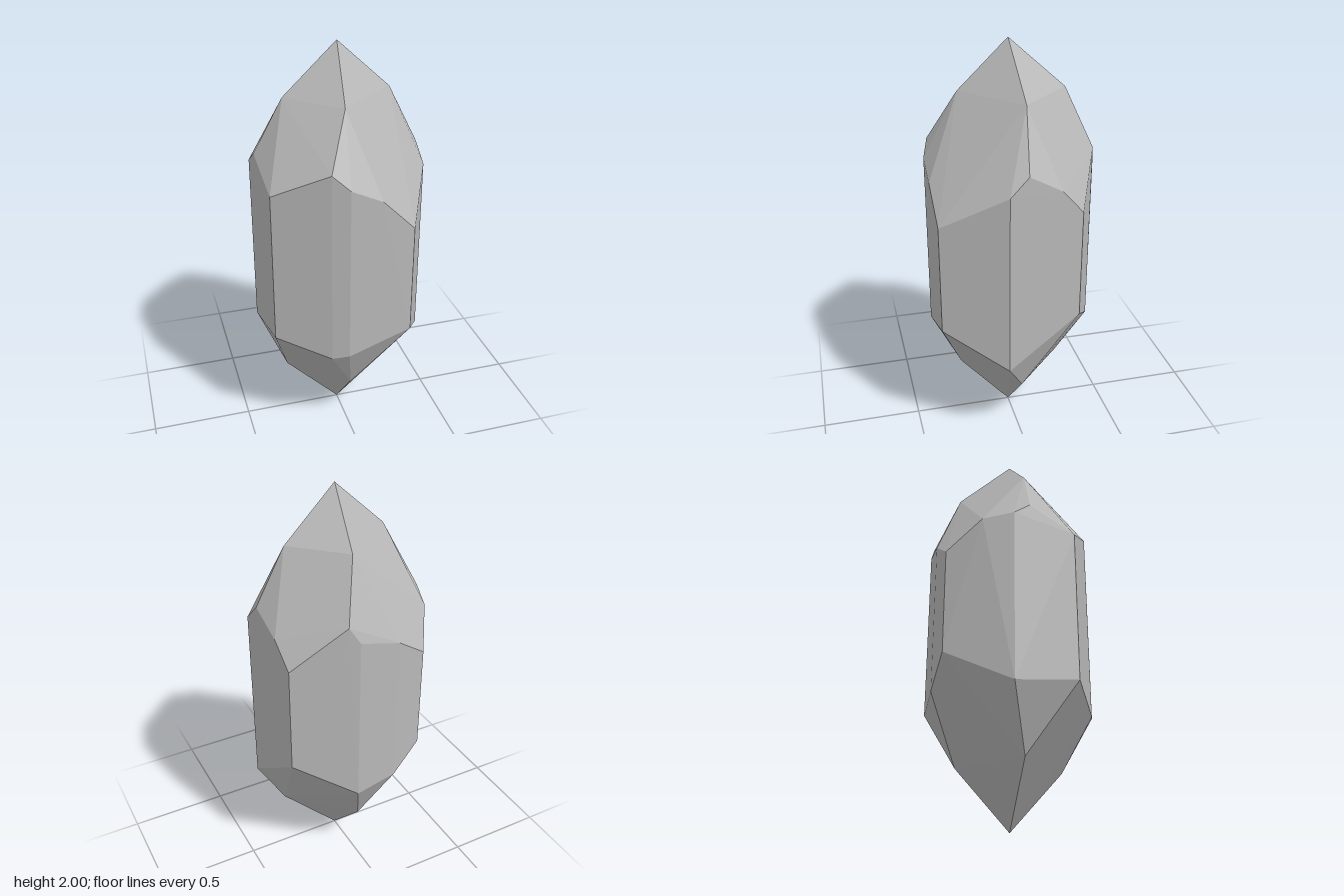
import * as THREE from 'three';
import { ConvexGeometry } from 'three/addons/geometries/ConvexGeometry.js';

export function createModel() {
  const stone = new THREE.MeshStandardMaterial({ color: 0xb8b8b8 });
  stone.name = 'grey stone';
  stone.flatShading = true;

  const points = [];
  const add = (x, y, z) => points.push(new THREE.Vector3(x, y, z));

  // Pointed tips
  add(0, 2, 0);
  add(0, 0, 0);

  // Long upright edges: x, z, upper end, lower end
  for (const [x, z, top, bottom] of [
    [0.26, 0.39, 1.21, 0.66],
    [0.37, -0.265, 1.27, 0.73],
    [-0.265, -0.38, 1.26, 0.74],
    [-0.378, 0.23, 1.38, 0.62],
  ]) {
    add(x, top, z);
    add(x, bottom, z);
  }

  // Blunt edges in the middle of each side: x, z, upper end, lower end
  for (const [x, z, top, bottom] of [
    [-0.05, 0.4, 1.44, 0.56],
    [0.41, 0.09, 1.39, 0.48],
    [0.08, -0.4, 1.41, 0.55],
    [-0.12, -0.403, 1.36, 0.6],
    [-0.41, -0.08, 1.44, 0.58],
  ]) {
    add(x, top, z);
    add(x, bottom, z);
  }

  // Ridges of the upper point, each splitting into a small facet
  for (const p of [
    [-0.03, 1.76, 0.235], [-0.13, 1.51, 0.37], [0.1, 1.37, 0.4],
    [0.262, 1.76, -0.02], [0.4, 1.48, 0], [0.385, 1.39, -0.16],
    [0.05, 1.77, -0.26], [0.13, 1.49, -0.38],
    [-0.26, 1.76, 0.01], [-0.4, 1.5, 0], [-0.362, 1.41, -0.225],
  ]) add(...p);

  // Ridges of the lower point
  for (const p of [
    [0, 0.29, 0.255], [-0.13, 0.54, 0.37],
    [0.3, 0.31, 0],
    [0, 0.28, -0.26],
    [-0.275, 0.28, 0],
  ]) add(...p);

  const crystal = new THREE.Mesh(new ConvexGeometry(points), stone);
  crystal.name = 'crystal';

  const group = new THREE.Group();
  group.name = 'doublePointedCrystal';
  group.add(crystal);
  return group;
}
